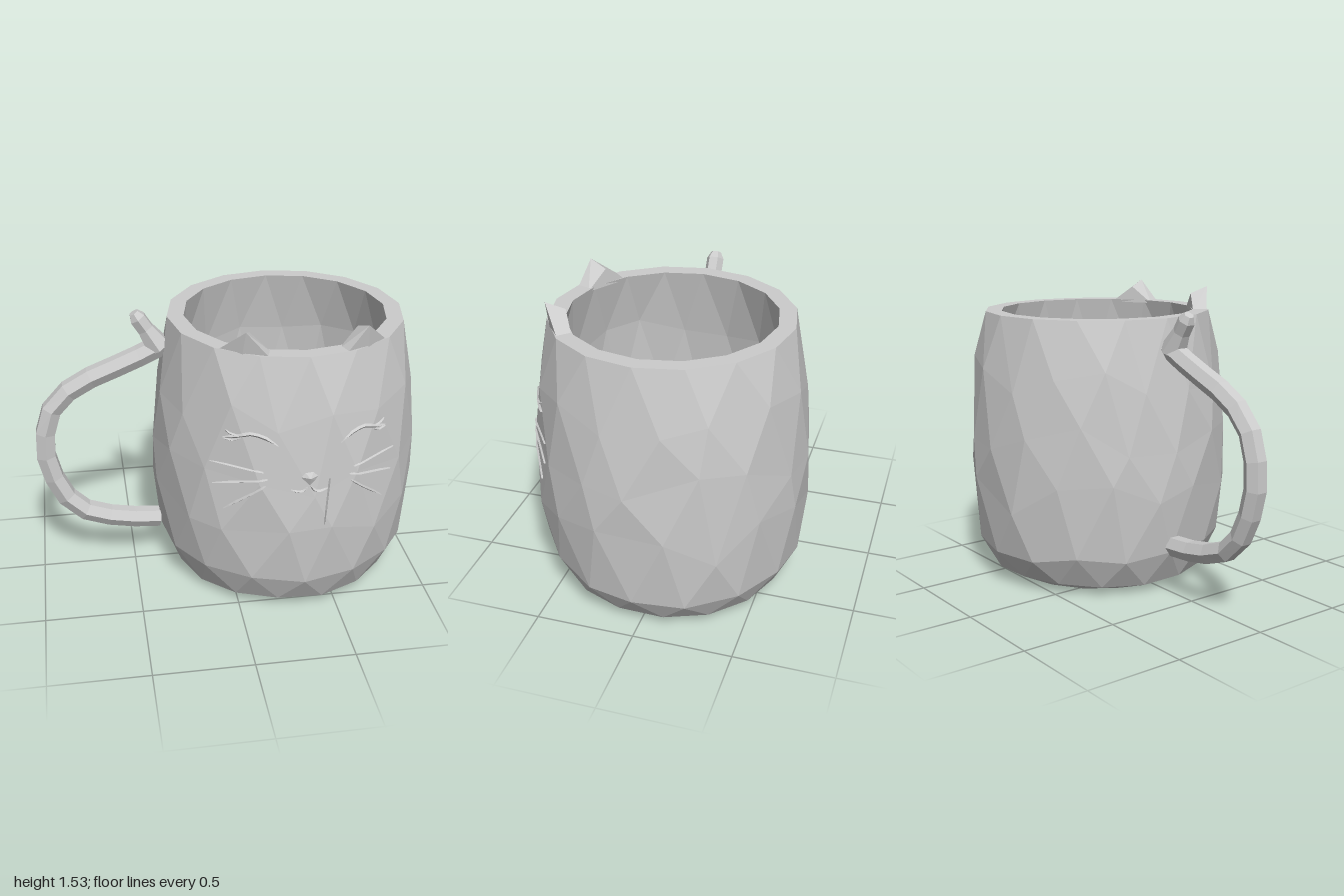
import * as THREE from 'three';
import { ConvexGeometry } from 'three/addons/geometries/ConvexGeometry.js';

const CX = 0.31;   // mug axis
const SIDES = 16;
const material = new THREE.MeshStandardMaterial({ color: 0xcccccc, flatShading: true });
const V = (x, y, z = 0) => new THREE.Vector3(x, y, z);

function makeMesh(name, geometry) {
  const mesh = new THREE.Mesh(geometry, material);
  mesh.name = name;
  return mesh;
}

function fromTriangles(points, index) {
  const geometry = new THREE.BufferGeometry().setFromPoints(points);
  geometry.setIndex(index);
  const flat = geometry.toNonIndexed();
  flat.computeVertexNormals();
  return flat;
}

// Mug: staggered rings, outside then inside; [radius, height, twist, jitter]
function mugGeometry() {
  let seed = 7;
  const random = () => (seed = (seed * 16807) % 2147483647) / 2147483647 - 0.5;
  const rings = [
    [0, 0, 0, 0], [0.47, 0, 0, 0], [0.58, 0.05, 0.5, 0.02], [0.662, 0.2, 0.5, 0.06],
    [0.695, 0.52, 0.5, 0.2], [0.69, 0.82, 0.5, 0.2], [0.662, 1.12, 0.5, 0.15],
    [0.6, 1.425, 0.5, 0], [0.515, 1.425, 0, 0],
    [0.58, 1.1, 0.5, 0.12], [0.61, 0.65, 0.5, 0.15], [0.575, 0.2, 0.5, 0.04],
    [0.45, 0.08, 0.5, 0], [0, 0.08, 0, 0],
  ];
  const points = [], index = [];
  let twist = 0;
  rings.forEach(([r, y, turn, jitter], k) => {
    twist += turn;
    for (let i = 0; i < SIDES; i++) {
      const a = (i + twist + random() * jitter * 2) / SIDES * Math.PI * 2;
      points.push(V(CX + r * Math.sin(a), y + random() * jitter, r * Math.cos(a)));
      if (k === 0) continue;
      const j = (i + 1) % SIDES, lo = (k - 1) * SIDES, hi = k * SIDES;
      if (rings[k - 1][0] > 0) index.push(lo + i, lo + j, hi + i);
      if (r > 0) index.push(lo + j, hi + j, hi + i);
    }
  });
  return fromTriangles(points, index);
}

// Ear: pointed wedge standing on the rim
function earGeometry(side) {
  const points = [];
  for (const a of [0.305, 0.54, 0.775]) {
    for (const r of [0.59, 0.52]) {
      points.push(V(CX + side * r * Math.sin(a), 1.41, r * Math.cos(a)));
    }
  }
  points.push(V(CX + side * 0.29, 1.535, 0.53), V(CX + side * 0.26, 1.5, 0.44));
  return new ConvexGeometry(points);
}

export function createModel() {
  const group = new THREE.Group();
  const mug = makeMesh('mugBody', mugGeometry());
  group.add(mug, makeMesh('leftEar', earGeometry(1)), makeMesh('rightEar', earGeometry(-1)));

  // Handle, with the end of the tail curling up at its top
  const path = new THREE.CatmullRomCurve3([
    V(-0.355, 0.258), V(-0.58, 0.28), V(-0.79, 0.36), V(-0.895, 0.52), V(-0.943, 0.74),
    V(-0.885, 0.97), V(-0.76, 1.08), V(-0.52, 1.185), V(-0.38, 1.245), V(-0.31, 1.28),
  ]);
  group.add(makeMesh('handle', new THREE.TubeGeometry(path, 13, 0.056, 6)));
  const tailProfile = [[0.07, 0], [0.045, 0.12], [0.045, 0.19], [0.026, 0.225], [0, 0.225]];
  const tail = makeMesh('tailTip', new THREE.LatheGeometry(tailProfile.map(([x, y]) => new THREE.Vector2(x, y)), 6));
  tail.position.set(-0.335, 1.265, 0);
  tail.rotation.z = 0.56;
  group.add(tail);

  // Face relief is laid onto the front of the mug
  const ray = new THREE.Raycaster();
  const onMug = (x, y, lift) => {
    ray.set(V(x, y, 2), V(0, 0, -1));
    const hit = ray.intersectObject(mug)[0];
    return V(x, y, (hit ? hit.point.z : 0) + lift);
  };

  // Thin ridge along a line, pointed at both ends
  const stroke = (name, line, width) => {
    const curve = new THREE.CatmullRomCurve3(line.map(([x, y]) => V(x, y)));
    const points = [], index = [], steps = 8;
    for (let i = 0; i <= steps; i++) {
      const t = i / steps, p = curve.getPoint(t), d = curve.getTangent(t);
      const w = width / 2 * Math.min(1, 0.1 + 4 * Math.min(t, 1 - t));
      points.push(onMug(p.x - d.y * w, p.y + d.x * w, -0.004), onMug(p.x, p.y, 0.01),
        onMug(p.x + d.y * w, p.y - d.x * w, -0.004));
      if (i === steps) continue;
      for (const a of [i * 3, i * 3 + 1]) index.push(a, a + 1, a + 4, a, a + 4, a + 3);
    }
    group.add(makeMesh(name, fromTriangles(points, index)));
  };

  for (const side of [-1, 1]) {
    const label = side > 0 ? 'left' : 'right';
    const mirror = line => line.map(([x, y]) => [CX + side * x, y]);
    stroke(label + 'Eye', mirror([[0.15, 1.0], [0.21, 1.035], [0.28, 1.05], [0.34, 1.03], [0.4, 1.015]]), 0.028);
    stroke(label + 'UpperLash', mirror([[0.33, 1.035], [0.37, 1.04], [0.39, 1.055]]), 0.016);
    stroke(label + 'LowerLash', mirror([[0.32, 1.03], [0.36, 1.005], [0.4, 1.01]]), 0.016);
    stroke(label + 'TopWhisker', mirror([[0.22, 0.862], [0.46, 0.873]]), 0.014);
    stroke(label + 'MiddleWhisker', mirror([[0.2, 0.825], [0.45, 0.755]]), 0.016);
    stroke(label + 'BottomWhisker', mirror([[0.21, 0.79], [0.4, 0.63]]), 0.016);
    stroke(label + 'Mouth', mirror([[0, 0.795], [0.025, 0.765], [0.055, 0.758], [0.09, 0.77]]), 0.018);
  }
  stroke('longWhisker', [[0.41, 0.82], [0.39, 0.57]], 0.014);

  // Nose: low pyramid over a rounded triangle
  const outline = [[0.26, 0.835], [0.28, 0.815], [0.31, 0.785], [0.34, 0.815], [0.355, 0.84], [0.33, 0.865], [0.285, 0.86]];
  const nose = [onMug(CX, 0.835, 0.02), ...outline.map(([x, y]) => onMug(x, y, -0.003))];
  const fan = outline.flatMap((_, i) => [0, i + 1, (i + 1) % outline.length + 1]);
  group.add(makeMesh('nose', fromTriangles(nose, fan)));

  return group;
}
